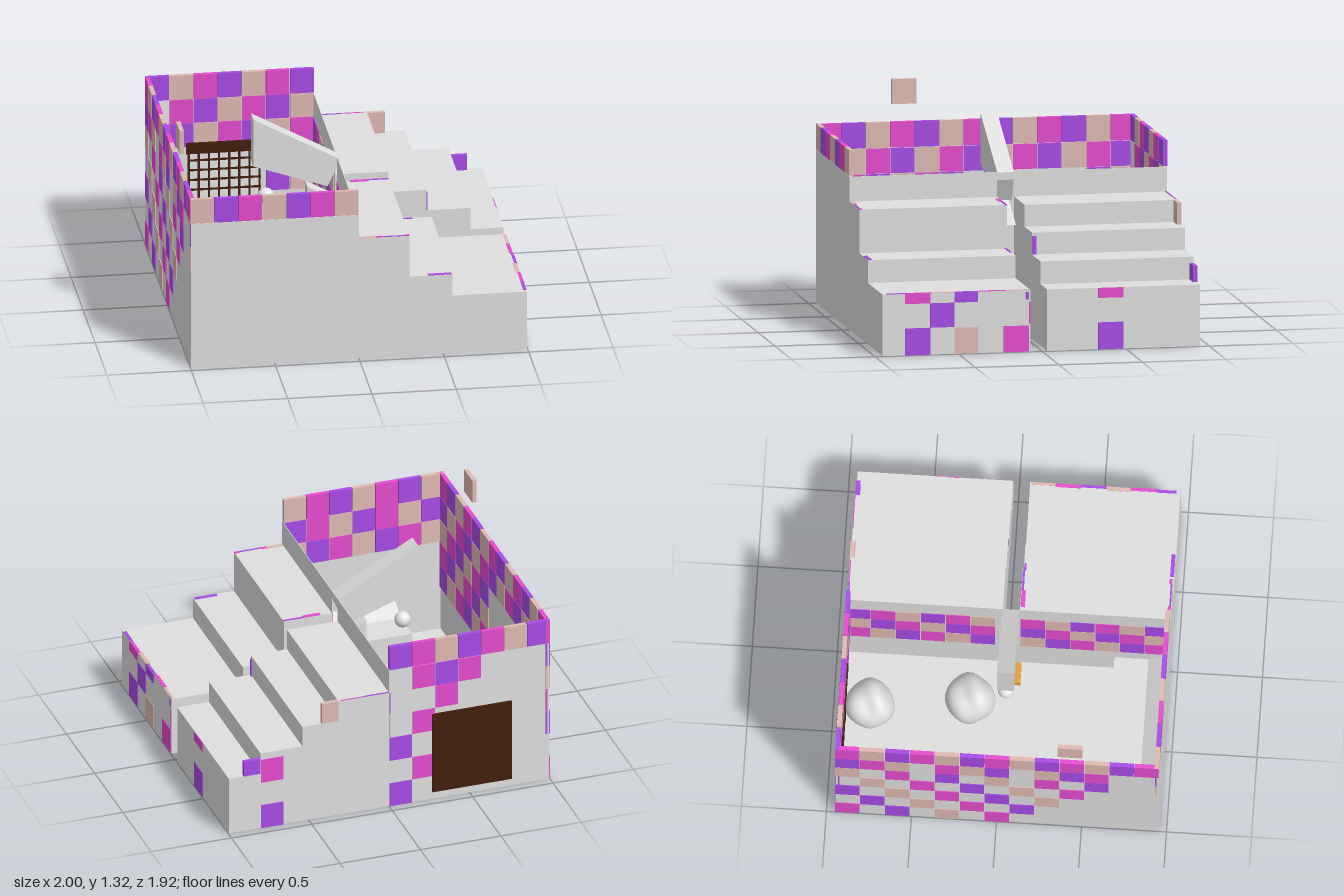
import * as THREE from 'three';

const mat = (name, hex) => {
  const m = new THREE.MeshStandardMaterial({ color: hex });
  m.name = name;
  return m;
};

export function createModel() {
  const root = new THREE.Group();
  root.name = 'steppedCourtyard';
  const stone = mat('grey stone', 0xdfdfdf);
  const pale = mat('pale stone', 0xeaeaea);
  const purple = mat('purple tile', 0xa84be6);
  const pink = mat('pink tile', 0xe64ccf);
  const tan = mat('tan tile', 0xdfbab3);
  const brown = mat('dark brown', 0x431f0d);
  const orange = mat('orange brown', 0xe39c3c);
  const hues = [pink, purple, tan];

  // Box given by its minimum and maximum corners
  function box(name, m, x0, x1, y0, y1, z0, z1, parent = root) {
    const mesh = new THREE.Mesh(new THREE.BoxGeometry(x1 - x0, y1 - y0, z1 - z0), m);
    mesh.position.set((x0 + x1) / 2, (y0 + y1) / 2, (z0 + z1) / 2);
    mesh.name = name;
    parent.add(mesh);
  }

  // Side profile in x/y pushed along z
  function slab(name, m, points, z0, z1) {
    const shape = new THREE.Shape(points.map(p => new THREE.Vector2(p[0], p[1])));
    const g = new THREE.ExtrudeGeometry(shape, { depth: z1 - z0, bevelEnabled: false });
    const mesh = new THREE.Mesh(g, m);
    mesh.position.z = z0;
    mesh.name = name;
    root.add(mesh);
  }

  // Two flights of steps with a slot between them, each rising to a thin wall
  slab('backSteps', stone, [[-0.004, 0], [0.997, 0], [0.997, 0.365], [0.8, 0.365], [0.8, 0.5],
    [0.54, 0.5], [0.54, 0.63], [0.315, 0.63], [0.315, 0.76], [0, 0.76], [0, 0.908], [-0.004, 0.908]], -0.945, -0.03);
  slab('frontSteps', stone, [[-0.004, 0], [0.997, 0], [0.997, 0.365], [0.555, 0.365], [0.555, 0.5],
    [0.3, 0.5], [0.3, 0.76], [0, 0.76], [0, 0.908], [-0.004, 0.908]], 0.07, 0.955);

  // Courtyard floor and walls
  box('floor', stone, -0.995, 0, 0, 0.02, -0.945, 0.955);
  box('leftWall', stone, -0.995, -0.98, 0, 0.91, -0.945, 0.955);
  box('backWall', stone, -0.995, 0, 0, 0.91, -0.945, -0.93);
  box('frontWall', stone, -0.995, 0, 0, 0.91, 0.94, 0.955);

  // Wall tiles on a grid
  const tiles = new THREE.Group();
  tiles.name = 'wallTiles';
  root.add(tiles);
  const rowY = [0, 0.155, 0.305, 0.46, 0.61, 0.76, 0.912, 1.068];
  const PX = 1 / 7, PZ = 1.905 / 13;
  const hue = (c, r) => hues[(c + 6 - r) % 3];

  function tileX(r, c, z0, z1, m) {
    box('tile', m, -1 + c * PX + 0.002, -1 + (c + 1) * PX - 0.002, rowY[r], rowY[r + 1] - 0.003, z0, z1, tiles);
  }
  function tileZ(r, c, x0, x1, m) {
    const z = 0.955 - c * PZ;
    box('tile', m, x0, x1, rowY[r], rowY[r + 1] - 0.003, z - PZ + 0.002, z - 0.002, tiles);
  }

  // Parapet row
  [tan, purple, pink, tan, purple, pink, tan].forEach((m, c) => tileX(6, c, 0.93, 0.956, m));
  [purple, tan, pink, purple, tan, pink, purple].forEach((m, c) => tileX(6, c, -0.948, -0.922, m));
  for (let c = 0; c < 13; c++) tileZ(6, c, -1, -0.974, hue(c, 6));

  // Inside faces
  for (let r = 2; r < 6; r++) {
    for (let c = 0; c < 13; c++) {
      if (r === 5 || c < 6 || c > 10) tileZ(r, c, -0.982, -0.973, hue(c, r));
      if (c !== 6 && r < 5) tileZ(r, c, -0.008, -0.003, hue(c, r + 1));
    }
    for (let c = 0; c < 7; c++) {
      if (r > 3 || c < 1 || c > 4) tileX(r, c, -0.932, -0.923, hue(c, r + 2));
      if (r > 3) tileX(r, c, 0.931, 0.942, hue(c, r));
    }
  }

  // Scattered tiles outside the left wall
  for (let r = 0; r < 6; r++) {
    for (let c = 1; c < 13; c++) {
      const keep = r === 5 ? c % 4 !== 1 : (c + r) % 2 === 0 && c > 5 - r;
      if (keep) tileZ(r, c, -1, -0.993, hue(c, r));
    }
  }

  // Scattered tiles outside the back wall: row, column, colour
  [[5, 5, pink], [5, 4, purple], [5, 3, pink], [4, 4, pink], [3, 5, pink],
    [2, 6, purple], [1, 5, pink], [0, 6, purple], [0, 11.6, purple], [2, 11.6, pink]]
    .forEach(([r, c, m]) => tileX(r, c, -0.951, -0.943, m));

  // Tiles standing on the back edge of the steps, and one loose tile
  box('edgeTile', tan, 0.315, 0.42, 0.63, 0.762, -0.948, -0.922);
  box('edgeTile', purple, 0.8, 0.905, 0.365, 0.462, -0.948, -0.922);
  box('looseTile', tan, -1, -0.974, 1.17, 1.318, 0.36, 0.505);

  // Tiles on the low end face: colour, z and y ranges
  [[purple, 0.67, 0.82, 0, 0.16], [pink, 0.67, 0.82, 0.305, 0.365], [purple, 0.525, 0.67, 0.16, 0.305],
    [purple, 0.385, 0.525, 0.305, 0.365], [tan, 0.385, 0.525, 0, 0.155], [pink, 0.08, 0.23, 0, 0.155],
    [pink, -0.485, -0.335, 0.305, 0.365], [purple, -0.485, -0.335, 0, 0.16]]
    .forEach(([m, z0, z1, y0, y1]) => box('endTile', m, 0.994, 1, y0, y1, z0, z1, tiles));
  box('riserTile', purple, 0.538, 0.546, 0.5, 0.61, -0.055, -0.03, tiles);

  // Slivers of tile on the risers and end beside the slot
  box('riserTile', purple, 0.994, 1, 0.31, 0.355, 0.08, 0.1, tiles);
  box('riserTile', pink, 0.994, 1, 0.165, 0.295, 0.071, 0.08, tiles);

  // Tile edges showing along the rims of the steps: colour, x range, height, z range
  [[tan, 0, 0.1, 0.76, 0.93, 0.953], [pink, 0.1, 0.13, 0.76, 0.935, 0.953], [purple, 0.13, 0.27, 0.76, 0.943, 0.953],
    [pink, 0.27, 0.3, 0.76, 0.935, 0.953], [purple, 0.41, 0.55, 0.5, 0.93, 0.953],
    [pink, 0.07, 0.175, 0.76, 0.072, 0.098], [purple, 0.175, 0.3, 0.76, 0.072, 0.085], [purple, 0.3, 0.44, 0.5, 0.072, 0.085],
    [tan, 0.98, 0.996, 0.365, 0.08, 0.22], [pink, 0.975, 0.996, 0.365, 0.22, 0.37], [purple, 0.982, 0.996, 0.365, 0.37, 0.52],
    [tan, 0.972, 0.996, 0.365, 0.52, 0.66], [pink, 0.98, 0.996, 0.365, 0.66, 0.81], [purple, 0.978, 0.996, 0.365, 0.81, 0.93],
    [purple, 0, 0.16, 0.76, -0.944, -0.935], [pink, 0.16, 0.3, 0.76, -0.944, -0.938]]
    .forEach(([m, x0, x1, y, z0, z1]) => box('rimTile', m, x0, x1, y - 0.003, y + 0.003, z0, z1, tiles));

  // Door outside, with a lattice on the inside
  box('door', brown, -0.76, -0.265, 0.05, 0.57, -0.96, -0.944);
  box('latticeHead', brown, -0.76, -0.3, 0.565, 0.635, -0.931, -0.915);
  box('latticePanel', pale, -0.75, -0.315, 0.05, 0.57, -0.931, -0.926);
  for (let i = 0; i < 8; i++) {
    const x = -0.75 + i * 0.06;
    box('latticeUpright', brown, x, x + 0.013, 0.05, 0.57, -0.931, -0.922);
    const y = 0.08 + i * 0.062;
    box('latticeRail', brown, -0.75, -0.315, y, y + 0.013, -0.931, -0.923);
  }

  // Sloping beam over a small chute, and the plate that closes the slot
  slab('beam', stone, [[-0.5, 0.88], [-0.06, 0.73], [-0.001, 0.86], [-0.001, 0.905], [-0.5, 1.178]], -0.03, 0.07);
  slab('chute', stone, [[-0.18, 0.6], [0.063, 0.6], [-0.18, 0.733]], -0.03, 0.07);
  box('slotEnd', stone, -0.02, -0.004, 0.02, 0.6, -0.03, 0.07);
  box('slotFoot', orange, -0.15, -0.021, -0.002, 0.06, -0.05, 0.085);
  const ball = new THREE.Mesh(new THREE.SphereGeometry(0.048, 24, 16), pale);
  ball.name = 'ball';
  ball.position.set(-0.42, 0.67, 0.018);
  root.add(ball);

  // Bench by the front wall with a sloping back
  box('benchSeat', stone, -0.695, 0, 0.02, 0.2, 0.63, 0.93);
  const wedge = new THREE.Shape([new THREE.Vector2(0, 0), new THREE.Vector2(0.1, 0), new THREE.Vector2(0.1, 0.06)]);
  const back = new THREE.Mesh(new THREE.ExtrudeGeometry(wedge, { depth: 0.695, bevelEnabled: false }), stone);
  back.rotation.y = -Math.PI / 2;
  back.position.set(0, 0.2, 0.83);
  back.name = 'benchBack';
  root.add(back);

  // Lumpy boulders on the floor
  [[-0.37, -0.785, 0], [-0.3, -0.2, 2]].forEach(([x, z, phase]) => {
    const g = new THREE.SphereGeometry(1, 32, 24);
    const p = g.attributes.position, v = new THREE.Vector3();
    for (let i = 0; i < p.count; i++) {
      v.fromBufferAttribute(p, i);
      const k = 0.146 + 0.006 * Math.sin(3 * v.x + phase) * Math.cos(3 * v.z - phase) + 0.012 * v.y * Math.sin(5 * v.z + 2 * v.x);
      p.setXYZ(i, v.x * k, v.y * k, v.z * k);
    }
    g.computeVertexNormals();
    const rock = new THREE.Mesh(g, stone);
    rock.position.set(x, 0.16, z);
    rock.name = 'boulder';
    root.add(rock);
  });
  return root;
}
